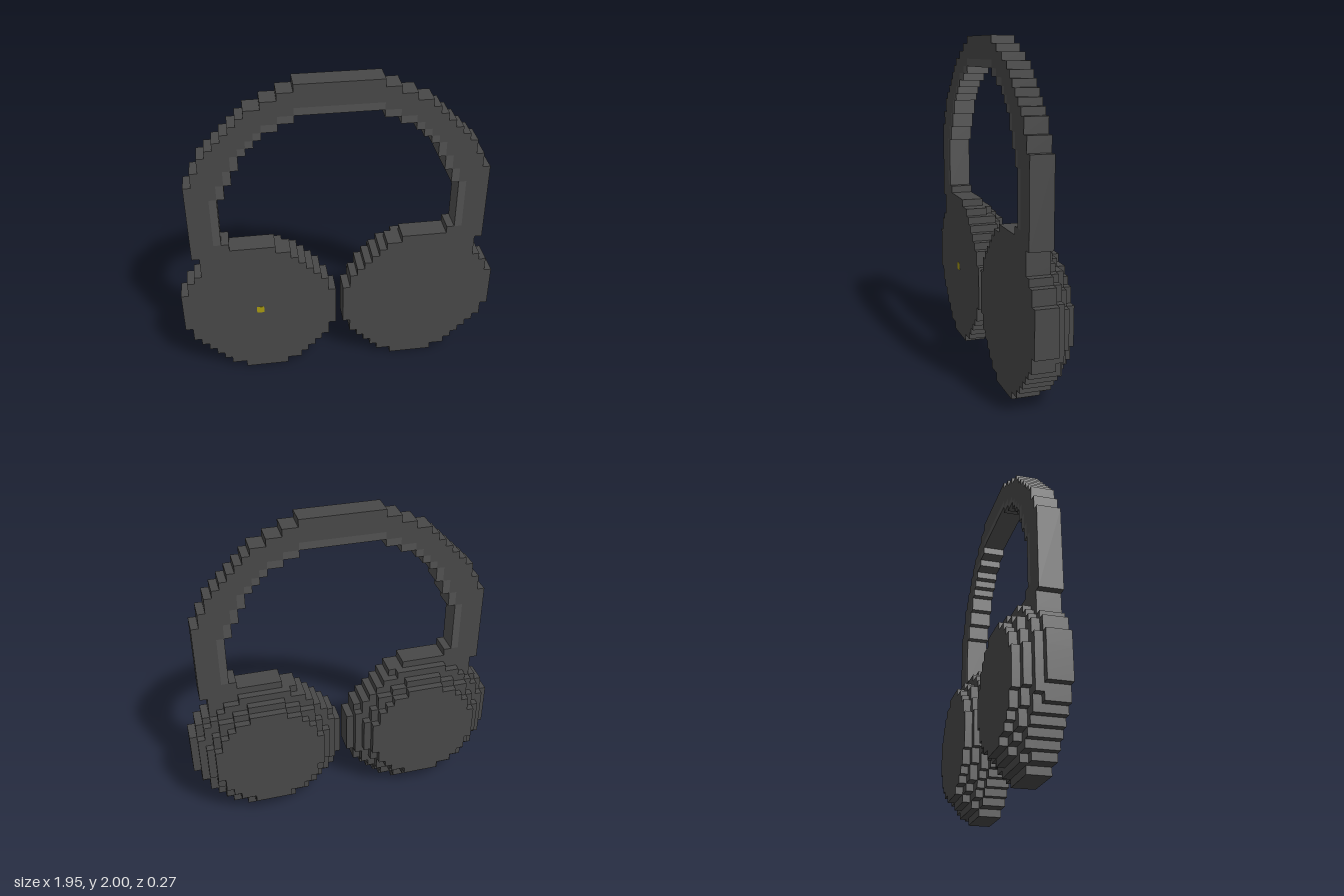
import * as THREE from 'three';

const U = 1 / 22; // edge of one block
const dark = new THREE.MeshStandardMaterial({ color: 0x484848, flatShading: true });
const soft = new THREE.MeshStandardMaterial({ color: 0x525252, flatShading: true });
const yellow = new THREE.MeshStandardMaterial({ color: 0xa89a10, flatShading: true });

// Extrude a stepped outline (in blocks) between two depths
function slab(name, points, z0, z1, material) {
  const clean = points.filter(([x, y], i) => {
    const [px, py] = points[(i + points.length - 1) % points.length];
    return x !== px || y !== py;
  });
  const shape = new THREE.Shape(clean.map(([x, y]) => new THREE.Vector2(x * U, y * U)));
  const geometry = new THREE.ExtrudeGeometry(shape, { depth: (z1 - z0) * U, bevelEnabled: false });
  geometry.translate(0, 0, z0 * U);
  const mesh = new THREE.Mesh(geometry, material);
  mesh.name = name;
  return mesh;
}

// Staircase from runs of [half width, top row]
function stair(runs, y) {
  const points = [];
  for (const [x, top] of runs) {
    points.push([x, y], [x, top]);
    y = top;
  }
  return points;
}

// Mirrored arch between an outer and an inner staircase
function arch(outer, inner, y0) {
  const flip = (pts) => pts.map(([x, y]) => [-x, y]);
  const o = stair(outer, y0), i = stair(inner, y0);
  return [...o, ...flip(o).reverse(), ...flip(i), ...[...i].reverse()];
}

// Outline of a point-symmetric disc from the first column of each row
function disc(starts, inset, side) {
  const n = starts.length;
  const left = [], right = [];
  starts.forEach((s, r) => {
    const e = n - starts[n - 1 - r];
    left.push([s, r], [s, r + 1]);
    right.push([e, r], [e, r + 1]);
  });
  return [...left, ...right.reverse()].map(([c, r]) => [side * (21.5 - inset - c), r + inset]);
}

// First column of each row of a round disc n blocks wide
function roundStarts(n) {
  const mid = (n - 1) / 2;
  return Array.from({ length: n }, (_, r) =>
    mid - Math.floor(Math.sqrt(n * n / 4 - (r - mid) ** 2)));
}

export function createModel() {
  const model = new THREE.Group();
  model.name = 'headphones';

  // Headband with a thin inner lining
  const outer = [[18.5, 20], [19.5, 31], [18.5, 33], [17.5, 35], [16.5, 36], [15.5, 37],
    [14.5, 38], [13.5, 39], [12.5, 40], [11.5, 41], [9.5, 42], [7.5, 43], [5.5, 44]];
  const seam = [[16.5, 29], [15.5, 31], [14.5, 33], [13.5, 35], [12.5, 36], [11.5, 37],
    [10.5, 38], [9.5, 39], [7.5, 40], [5.5, 41]];
  const opening = [[15.5, 29], [14.5, 31], [13.5, 33], [12.5, 35], [11.5, 36], [10.5, 37],
    [9.5, 38], [7.5, 39], [5.5, 40]];
  model.add(slab('headband', arch(outer, [[14.5, 22], ...seam], 18), 0, 3, dark));
  model.add(slab('headbandLining', arch(seam, opening, 22), 0, 3, soft));

  // Ear cups with pads stepping inward towards the back
  const cupStarts = [8, 6, 5, 4, 3, 2, 1, 1, 0, 0, 0, 0, 0, 0, 1, 1, 2, 3, 4, 5, 7];
  for (const side of [-1, 1]) {
    const ear = new THREE.Group();
    ear.name = side < 0 ? 'rightEar' : 'leftEar';
    ear.add(slab('earCup', disc(cupStarts, 0, side), 0, 3, dark));
    for (let k = 1; k <= 3; k++) {
      ear.add(slab('earPadLayer' + k, disc(roundStarts(21 - 2 * k), k, side), -k, 1 - k, dark));
    }
    model.add(ear);
  }

  // Small indicator light on the right cup
  const light = new THREE.Mesh(new THREE.BoxGeometry(U, U, U), yellow);
  light.name = 'indicatorLight';
  light.position.set(-11 * U, 10.5 * U, 2.5 * U + 0.002);
  model.add(light);

  return model;
}
